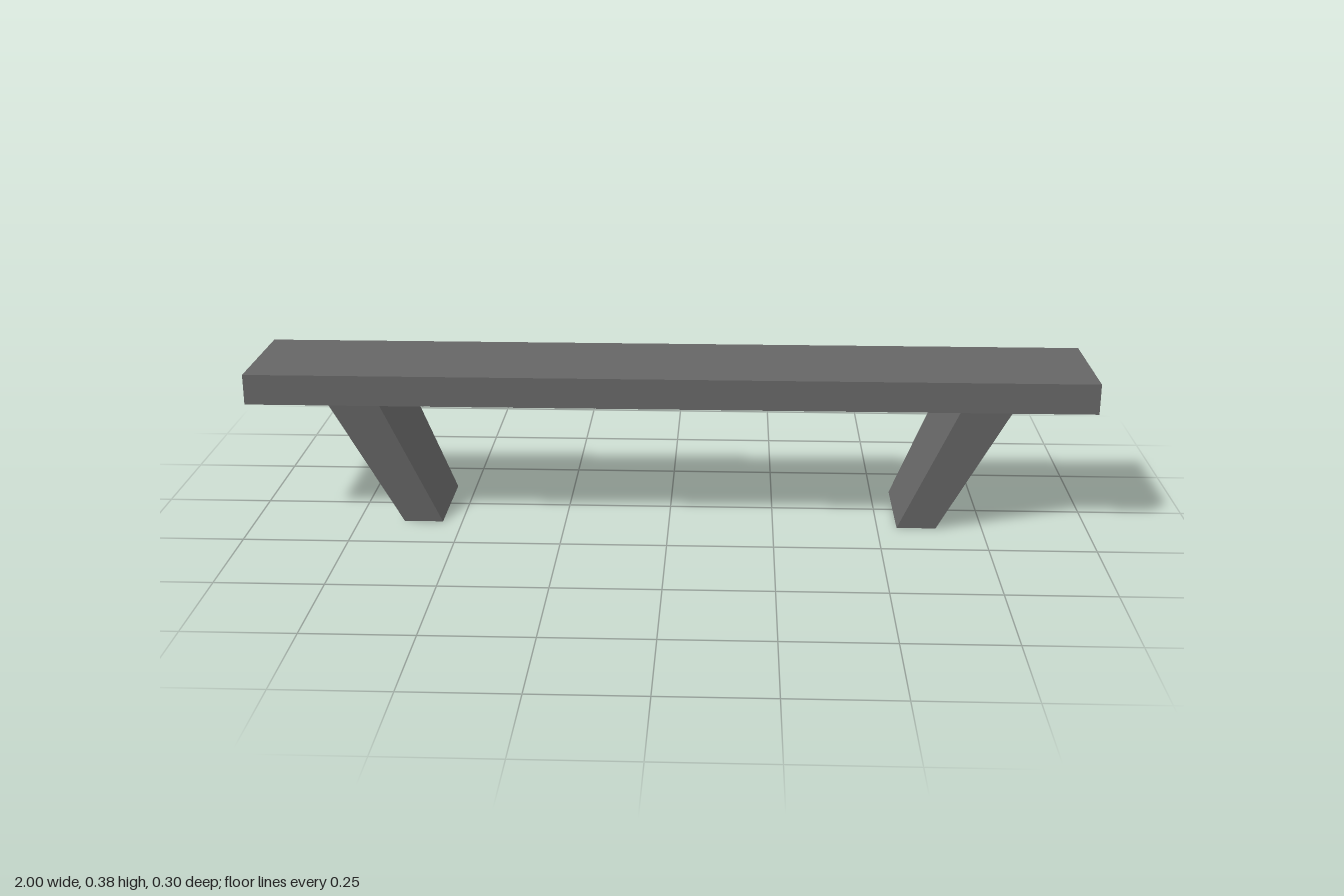
import * as THREE from 'three';

const TOP = 0.375, UNDER = 0.302;

// Slanted leg, tapering towards the foot; side is +1 or -1
function legGeometry(side) {
  const geo = new THREE.BoxGeometry(1, 1, 1);
  const p = geo.attributes.position;
  for (let i = 0; i < p.count; i++) {
    const upper = p.getY(i) > 0;
    const outer = p.getX(i) * side > 0;
    const x = upper ? (outer ? 0.8 : 0.68) : (outer ? 0.64 : 0.547);
    const z = upper ? 0.15 : 0.12;
    p.setXYZ(i, side * x, upper ? UNDER : 0, Math.sign(p.getZ(i)) * z);
  }
  geo.computeVertexNormals();
  return geo;
}

export function createModel() {
  const group = new THREE.Group();
  group.name = 'bench';
  const grey = new THREE.MeshStandardMaterial({ color: 0x666666 });
  grey.name = 'dark grey';

  const add = (name, geo) => {
    const mesh = new THREE.Mesh(geo, grey);
    mesh.name = name;
    group.add(mesh);
    return mesh;
  };

  // Seat plank
  add('seat', new THREE.BoxGeometry(2, TOP - UNDER, 0.3)).position.y = (TOP + UNDER) / 2;

  // Mirrored pair of legs
  add('leftLeg', legGeometry(1));
  add('rightLeg', legGeometry(-1));

  return group;
}
